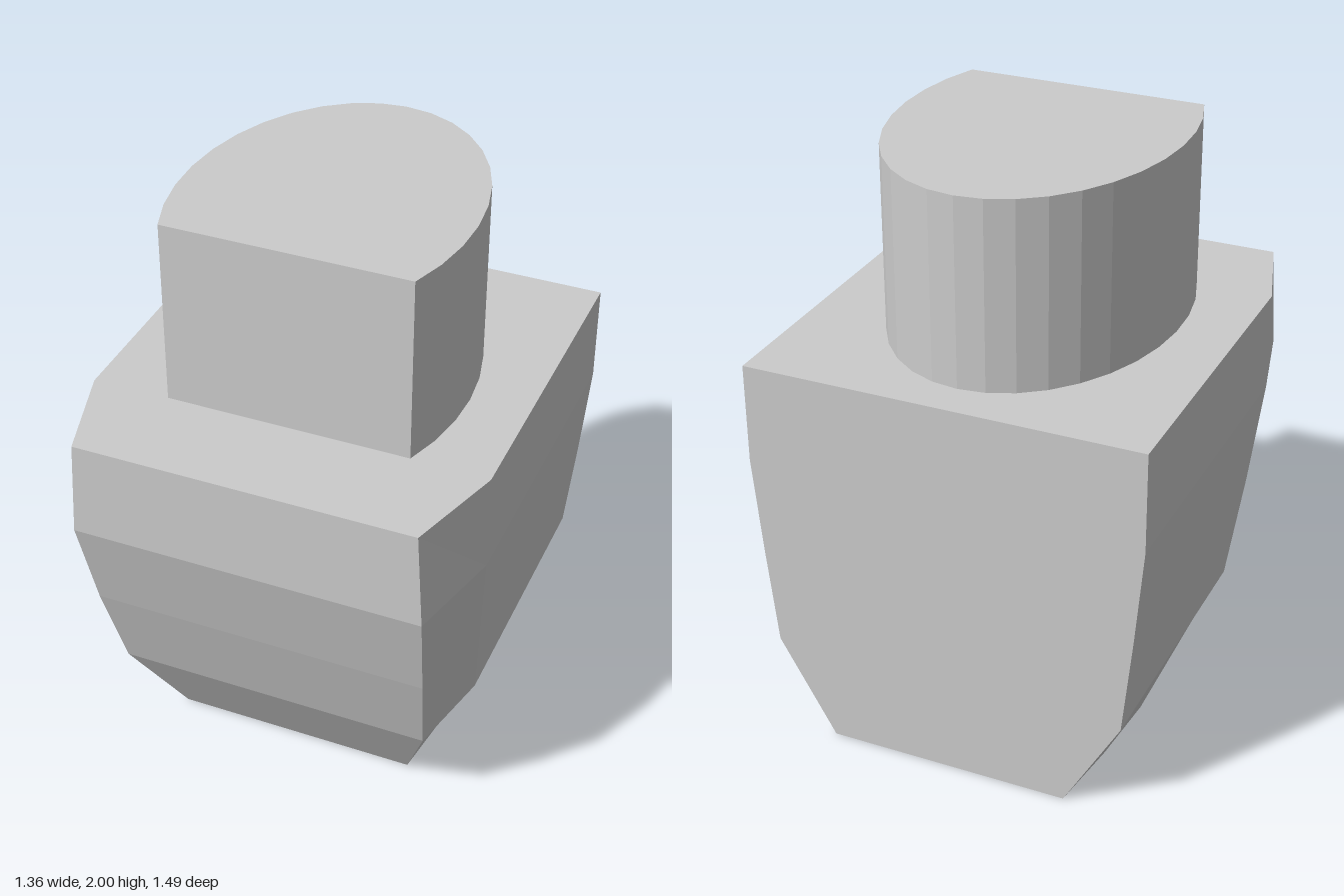
import * as THREE from 'three';

const material = new THREE.MeshStandardMaterial({ color: 0xcccccc, flatShading: true });

// Body levels: height, front z, z of the side kink, half widths from back to front
const BACK = -0.745;
const LEVELS = [
  { y: 0, front: 0.365, kink: 0.09, widths: [0.42, 0.455, 0.475, 0.46, 0.425] },
  { y: 0.34, front: 0.555, kink: 0.24, widths: [0.615, 0.615, 0.615, 0.615, 0.545] },
  { y: 0.68, front: 0.66, kink: 0.33, widths: [0.65, 0.65, 0.65, 0.65, 0.575] },
  { y: 1.02, front: 0.745, kink: 0.4, widths: [0.68, 0.68, 0.68, 0.68, 0.595] },
  { y: 1.36, front: 0.745, kink: 0.4, widths: [0.68, 0.68, 0.68, 0.68, 0.575] },
];

// One closed cross-section: front to back along +x, then back to front along -x
function ring({ y, front, kink, widths }) {
  const side = widths.map((w, i) => {
    const z = i === 4 ? front : BACK + (kink - BACK) * (i / 3);
    return new THREE.Vector3(w, y, z);
  });
  const mirrored = side.map((p) => new THREE.Vector3(-p.x, p.y, p.z));
  return [...side.reverse(), ...mirrored];
}

function bodyGeometry() {
  const rings = LEVELS.map(ring);
  const n = rings[0].length;
  const positions = [];
  const triangle = (...points) => points.forEach((p) => positions.push(p.x, p.y, p.z));

  // Walls between neighbouring levels
  for (let l = 0; l < rings.length - 1; l++) {
    const low = rings[l], high = rings[l + 1];
    for (let i = 0; i < n; i++) {
      const j = (i + 1) % n;
      triangle(low[i], low[j], high[i]);
      triangle(low[j], high[j], high[i]);
    }
  }

  // Flat bottom and top, fanned from their middles
  const bottom = rings[0], top = rings[rings.length - 1];
  const bottomMiddle = new THREE.Vector3(0, LEVELS[0].y, 0);
  const topMiddle = new THREE.Vector3(0, LEVELS[4].y, 0);
  for (let i = 0; i < n; i++) {
    const j = (i + 1) % n;
    triangle(bottomMiddle, bottom[j], bottom[i]);
    triangle(topMiddle, top[i], top[j]);
  }

  const geometry = new THREE.BufferGeometry();
  geometry.setAttribute('position', new THREE.Float32BufferAttribute(positions, 3));
  geometry.computeVertexNormals();
  return geometry;
}

// Neck: an ellipse cut flat at the front, raised to the full height
function neckGeometry() {
  const segments = 22;
  const points = [];
  for (let i = 0; i <= segments; i++) {
    const a = THREE.MathUtils.degToRad(-30 + (240 * i) / segments);
    points.push(new THREE.Vector2(0.48 * Math.cos(a), -0.06 + 0.67 * Math.sin(a)));
  }
  const geometry = new THREE.ExtrudeGeometry(new THREE.Shape(points), {
    depth: 0.64,
    bevelEnabled: false,
  });
  geometry.rotateX(-Math.PI / 2);
  geometry.translate(0, 1.36, 0);
  return geometry;
}

export function createModel() {
  const model = new THREE.Group();
  const addPart = (name, geometry) => {
    const mesh = new THREE.Mesh(geometry, material);
    mesh.name = name;
    model.add(mesh);
  };
  addPart('body', bodyGeometry());
  addPart('neck', neckGeometry());
  return model;
}
